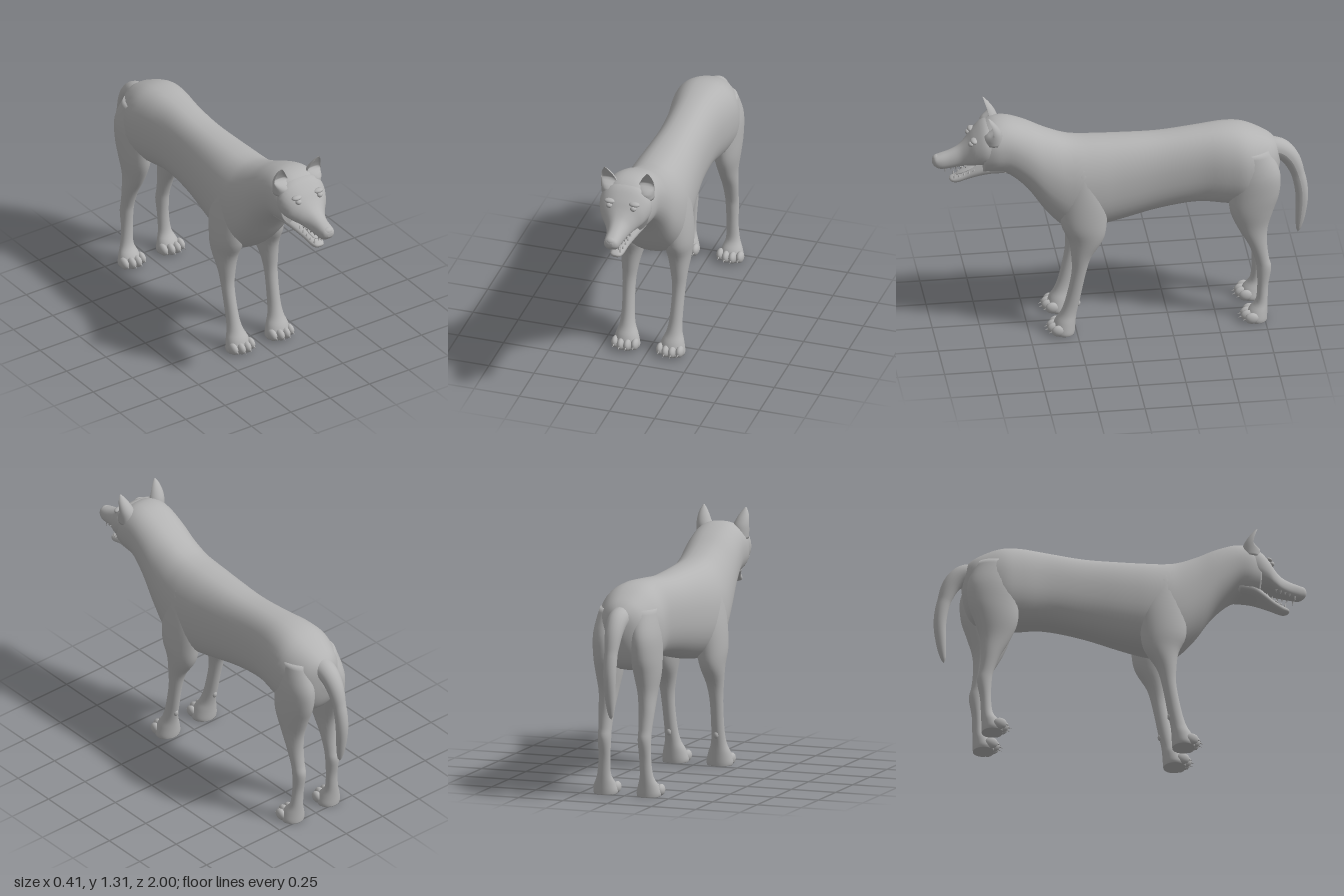
import * as THREE from 'three';

const grey = new THREE.MeshStandardMaterial({ color: 0xb3b3b3 });
grey.name = 'grey';

// Smoothly subdivides a list of cross-section rows
function refine(rows, steps) {
  const out = [];
  const at = i => rows[Math.max(0, Math.min(rows.length - 1, i))];
  for (let i = 0; i < rows.length - 1; i++) {
    for (let s = 0; s < steps; s++) {
      const t = s / steps;
      out.push(rows[i].map((b, k) => {
        const a = at(i - 1)[k], c = at(i + 1)[k], d = at(i + 2)[k];
        return b + 0.5 * t * (c - a + t * (2 * a - 5 * b + 4 * c - d + t * (3 * (b - c) + d - a)));
      }));
    }
  }
  out.push(rows[rows.length - 1]);
  return out;
}

// Skins closed rings made by place(row, cos, sin), with both ends capped
function loft(rows, place, sides = 32, steps = 4) {
  const fine = refine(rows, steps), pos = [], idx = [], n = fine.length;
  for (const row of fine) {
    for (let j = 0; j < sides; j++) {
      const a = j / sides * Math.PI * 2;
      pos.push(...place(row, Math.cos(a), Math.sin(a)));
    }
  }
  pos.push(...place(fine[0], 0, 0), ...place(fine[n - 1], 0, 0));
  for (let j = 0; j < sides; j++) {
    const k = (j + 1) % sides, e = (n - 1) * sides;
    for (let i = 0; i < n - 1; i++) {
      const a = i * sides + j, b = i * sides + k;
      idx.push(a, b, a + sides, b, b + sides, a + sides);
    }
    idx.push(n * sides, k, j, n * sides + 1, e + j, e + k);
  }
  const g = new THREE.BufferGeometry();
  g.setAttribute('position', new THREE.Float32BufferAttribute(pos, 3));
  g.setIndex(idx);
  g.computeVertexNormals();
  return g;
}

const soft = (v, p) => Math.sign(v) * Math.abs(v) ** p;

// Rows along z: [z, top, bottom, half width, taper towards the top]
const alongZ = ([z, top, bottom, w, taper], c, s) => [
  w * soft(c, 0.85) * (1 - taper * s),
  (top + bottom) / 2 + (top - bottom) / 2 * soft(s, 0.9), z];

// Rows going up y: [y, centre x, centre z, radius x, radius z]
const alongY = ([y, cx, cz, rx, rz], c, s) => [cx + rx * c, y, cz - rz * s];

export function createModel() {
  const model = new THREE.Group();
  model.name = 'wolf';

  const add = (name, geometry, parent = model) => {
    const m = new THREE.Mesh(geometry, grey);
    m.name = name;
    parent.add(m);
    return m;
  };
  const blob = (name, x, y, z, rx, ry, rz, parent) => {
    const m = add(name, new THREE.SphereGeometry(1, 16, 12), parent);
    m.position.set(x, y, z);
    m.scale.set(rx, ry, rz);
    return m;
  };
  const spike = (name, x, y, z, r, h, tilt, parent) => {
    const m = add(name, new THREE.ConeGeometry(r, h, 8), parent);
    m.position.set(x, y, z);
    m.rotation.x = tilt;
    return m;
  };

  // Trunk, neck and back of the skull
  add('body', loft([
    [-0.845, 0.98, 0.86, 0.03, 0],
    [-0.82, 1.015, 0.76, 0.09, 0],
    [-0.77, 1.055, 0.69, 0.14, 0],
    [-0.66, 1.105, 0.66, 0.18, 0],
    [-0.55, 1.12, 0.67, 0.17, 0],
    [-0.4, 1.11, 0.685, 0.145, 0],
    [-0.2, 1.092, 0.66, 0.143, 0],
    [0, 1.092, 0.615, 0.163, 0.03],
    [0.12, 1.095, 0.592, 0.178, 0.06],
    [0.22, 1.1, 0.58, 0.185, 0.08],
    [0.3, 1.115, 0.59, 0.18, 0.08],
    [0.4, 1.155, 0.69, 0.168, 0.06],
    [0.5, 1.205, 0.835, 0.158, 0.03],
    [0.6, 1.24, 0.93, 0.15, 0],
    [0.68, 1.238, 0.95, 0.148, 0],
    [0.74, 1.205, 0.955, 0.13, 0],
  ], alongZ, 40));

  // Face and upper muzzle
  add('upperMuzzle', loft([
    [0.64, 1.22, 1.0, 0.12, 0],
    [0.72, 1.222, 1.0, 0.142, 0],
    [0.78, 1.175, 1.0, 0.122, 0.05],
    [0.82, 1.128, 0.995, 0.088, 0.12],
    [0.86, 1.092, 0.985, 0.062, 0.18],
    [0.91, 1.068, 0.975, 0.048, 0.15],
    [0.96, 1.052, 0.97, 0.042, 0.05],
    [0.988, 1.042, 0.985, 0.033, 0],
    [1.0, 1.025, 1.002, 0.014, 0],
  ], alongZ));
  blob('nose', 0, 1.028, 0.974, 0.03, 0.02, 0.025);

  // Open lower jaw and tongue
  add('lowerJaw', loft([
    [0.62, 1.02, 0.95, 0.11, 0],
    [0.7, 1.02, 0.945, 0.1, 0],
    [0.76, 0.988, 0.928, 0.076, 0],
    [0.82, 0.95, 0.903, 0.05, 0],
    [0.87, 0.925, 0.884, 0.038, 0],
    [0.9, 0.913, 0.887, 0.027, 0],
    [0.91, 0.905, 0.897, 0.01, 0],
  ], alongZ));
  blob('tongue', 0, 0.957, 0.81, 0.026, 0.008, 0.075).rotation.x = 0.45;

  const frontLeg = [
    [0, 0.125, 0.318, 0.068, 0.058],
    [0.02, 0.125, 0.32, 0.072, 0.062],
    [0.07, 0.127, 0.31, 0.06, 0.055],
    [0.12, 0.13, 0.292, 0.042, 0.043],
    [0.2, 0.133, 0.27, 0.034, 0.038],
    [0.35, 0.137, 0.24, 0.035, 0.038],
    [0.45, 0.135, 0.225, 0.046, 0.053],
    [0.55, 0.13, 0.2, 0.064, 0.092],
    [0.65, 0.125, 0.21, 0.079, 0.122],
    [0.8, 0.115, 0.21, 0.08, 0.125],
    [0.95, 0.1, 0.22, 0.068, 0.09],
    [1.03, 0.09, 0.22, 0.04, 0.04],
  ];
  const hindLeg = [
    [0, 0.122, -0.708, 0.062, 0.055],
    [0.02, 0.122, -0.706, 0.066, 0.058],
    [0.06, 0.122, -0.715, 0.055, 0.05],
    [0.11, 0.12, -0.735, 0.037, 0.032],
    [0.2, 0.115, -0.742, 0.032, 0.029],
    [0.3, 0.113, -0.748, 0.035, 0.039],
    [0.36, 0.113, -0.737, 0.036, 0.038],
    [0.45, 0.113, -0.715, 0.042, 0.05],
    [0.55, 0.11, -0.69, 0.05, 0.08],
    [0.65, 0.108, -0.685, 0.066, 0.115],
    [0.75, 0.105, -0.697, 0.076, 0.135],
    [0.87, 0.1, -0.7, 0.08, 0.135],
    [1.0, 0.08, -0.68, 0.075, 0.1],
  ];

  for (const side of [1, -1]) {
    const label = side > 0 ? 'left' : 'right';
    const mirror = rows => rows.map(([y, cx, ...rest]) => [y, cx * side, ...rest]);

    // Legs with toes and claws
    for (const [name, rows, toeZ] of [['FrontLeg', frontLeg, 0.36], ['HindLeg', hindLeg, -0.668]]) {
      const leg = new THREE.Group();
      leg.name = label + name;
      model.add(leg);
      add('limb', loft(mirror(rows), alongY, 28), leg);
      for (let i = 0; i < 4; i++) {
        const x = side * (0.124 + (i - 1.5) * 0.036), z = toeZ + (i === 1 || i === 2 ? 0.01 : -0.008);
        blob('toe', x, 0.032, z, 0.021, 0.031, 0.036, leg);
        spike('claw', x, 0.028, z + 0.036, 0.008, 0.034, 1.95, leg);
      }
    }
    blob(label + 'WristPad', side * 0.133, 0.172, 0.244, 0.014, 0.02, 0.014);

    // Ear, hollowed at the front
    const ear = loft(mirror([
      [1.15, 0.098, 0.685, 0.045, 0.05],
      [1.21, 0.102, 0.688, 0.045, 0.046],
      [1.25, 0.109, 0.695, 0.036, 0.034],
      [1.285, 0.115, 0.707, 0.022, 0.02],
      [1.312, 0.118, 0.716, 0.004, 0.004],
    ]), ([y, cx, cz, rx, rz], c, s) => {
      const hollow = y > 1.2 && s < 0 ? Math.min(1, (y - 1.2) / 0.03) * 1.3 : 0;
      return [cx + rx * c, y, cz - rz * s * (1 - hollow)];
    }, 24);
    add(label + 'Ear', ear);

    // Eye and brow
    blob(label + 'Eye', side * 0.067, 1.138, 0.802, 0.017, 0.014, 0.016);
    blob(label + 'Brow', side * 0.068, 1.156, 0.786, 0.03, 0.013, 0.02);

    // Teeth
    spike(label + 'UpperFang', side * 0.028, 0.968, 0.935, 0.007, 0.036, Math.PI);
    spike(label + 'LowerFang', side * 0.022, 0.928, 0.885, 0.006, 0.034, 0);
    for (let i = 0; i < 4; i++) {
      spike(label + 'UpperTooth', side * (0.036 + i * 0.006), 0.98 + i * 0.004, 0.905 - i * 0.025, 0.007, 0.018, Math.PI);
      spike(label + 'LowerTooth', side * (0.03 + i * 0.006), 0.932 + i * 0.012, 0.86 - i * 0.025, 0.007, 0.018, 0);
    }
  }

  // Hanging tail: a tube whose radius follows a rule
  const path = new THREE.CatmullRomCurve3([
    [-0.78, 0.965], [-0.845, 0.953], [-0.9, 0.9], [-0.942, 0.8],
    [-0.964, 0.68], [-0.958, 0.55], [-0.943, 0.44],
  ].map(([z, y]) => new THREE.Vector3(0, y, z)));
  const tail = new THREE.TubeGeometry(path, 40, 1, 20);
  const p = tail.attributes.position, uv = tail.attributes.uv, v = new THREE.Vector3();
  for (let i = 0; i < p.count; i++) {
    const u = uv.getX(i), c = path.getPointAt(u);
    const r = (0.062 - 0.032 * Math.min(1, u * 2.4) + 0.006 * Math.sin(u * Math.PI)) * Math.sqrt(Math.max(0, 1 - u ** 5));
    v.fromBufferAttribute(p, i).sub(c).multiplyScalar(r).add(c);
    p.setXYZ(i, v.x, v.y, v.z);
  }
  tail.computeVertexNormals();
  add('tail', tail);

  return model;
}
